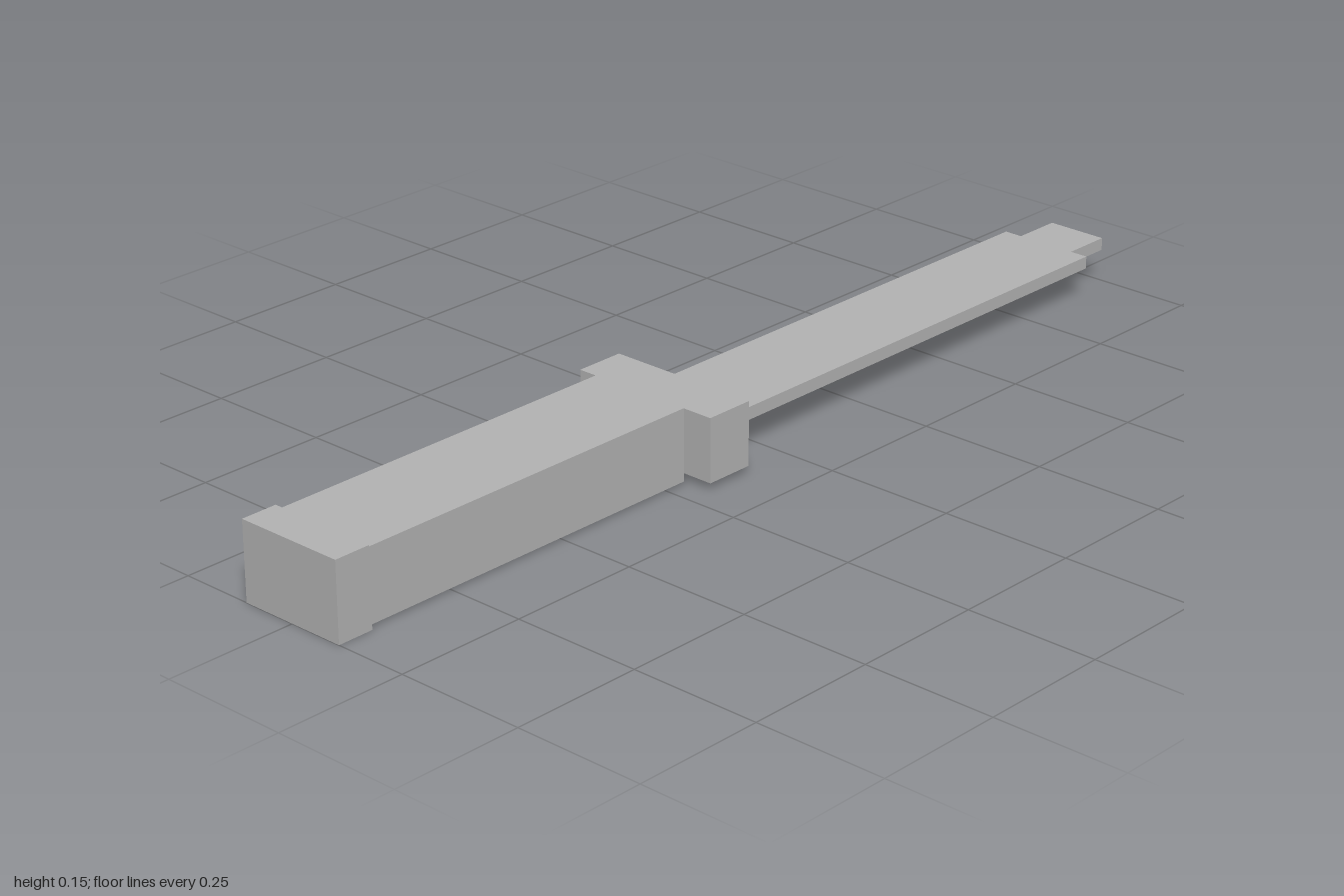
import * as THREE from 'three';

export function createModel() {
  const model = new THREE.Group();
  const grey = new THREE.MeshStandardMaterial({ color: 0xb2b2b2 });
  grey.name = 'plain grey';

  const midY = 0.0735; // all parts share one long axis

  // Block from x0 to x1, centred on the axis
  function block(name, x0, x1, height, depth) {
    const mesh = new THREE.Mesh(new THREE.BoxGeometry(x1 - x0, height, depth), grey);
    mesh.name = name;
    mesh.position.set((x0 + x1) / 2, midY, 0);
    model.add(mesh);
  }

  // Handle, with a narrow open gap before the guard
  block('pommel', -1, -0.93, 0.147, 0.216);
  block('grip', -0.93, -0.211, 0.135, 0.205);
  block('guard', -0.199, -0.103, 0.12, 0.303);

  // Flat blade with a stepped, narrower tip, as one outline
  const x0 = -0.103, xStep = 0.904, x1 = 1, w = 0.096, wTip = 0.06, thick = 0.024;
  const outline = new THREE.Shape([
    [x0, -w], [xStep, -w], [xStep, -wTip], [x1, -wTip],
    [x1, wTip], [xStep, wTip], [xStep, w], [x0, w],
  ].map(([x, z]) => new THREE.Vector2(x, z)));
  const bladeGeometry = new THREE.ExtrudeGeometry(outline, { depth: thick, bevelEnabled: false });
  bladeGeometry.rotateX(-Math.PI / 2);
  const blade = new THREE.Mesh(bladeGeometry, grey);
  blade.name = 'blade';
  blade.position.y = midY - thick / 2;
  model.add(blade);

  return model;
}
